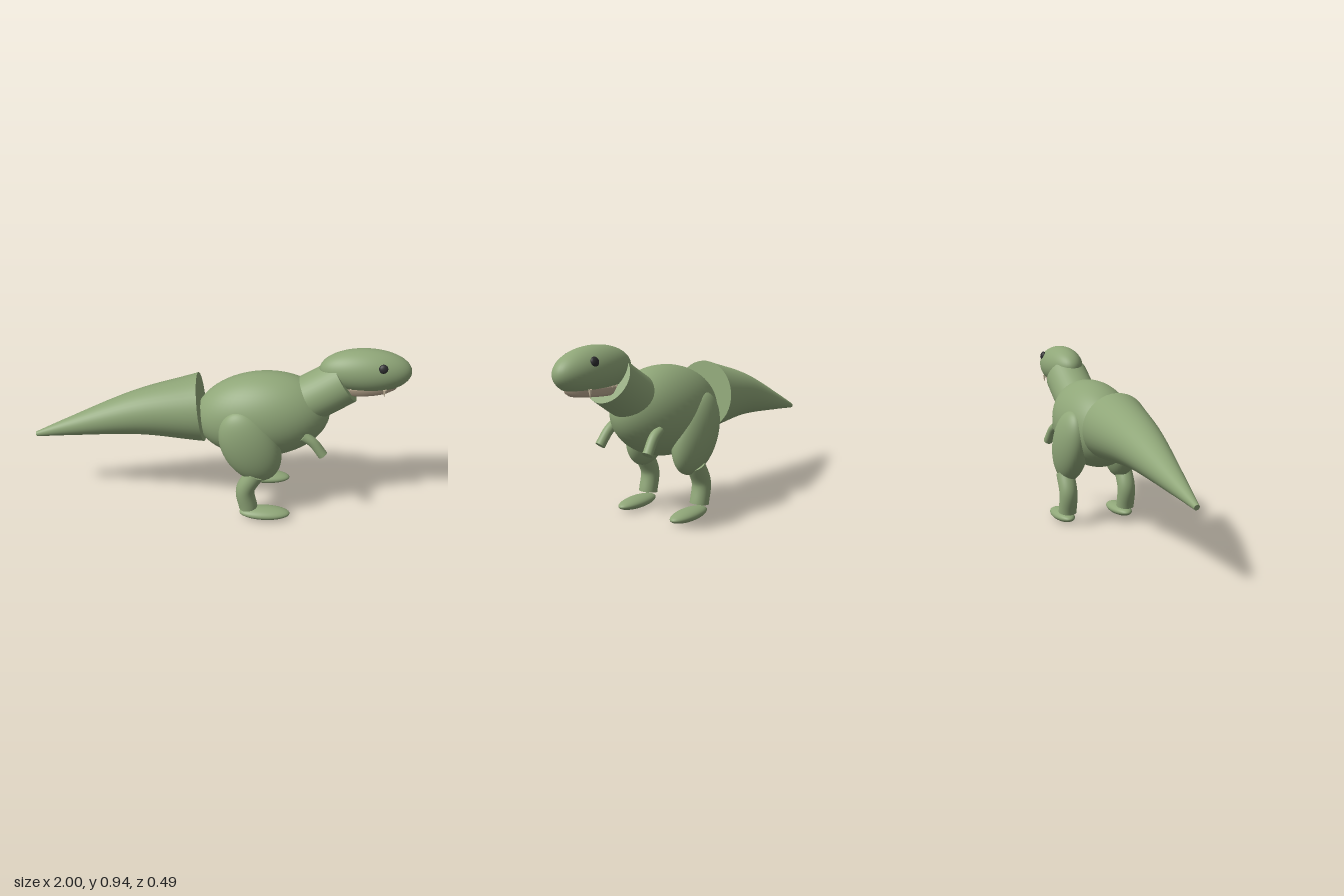
import * as THREE from 'three';

const paint = (name, color) => {
  const m = new THREE.MeshStandardMaterial({ color });
  m.name = name;
  return m;
};

export function createModel() {
  const model = new THREE.Group();
  model.name = 'dinosaur';
  const skin = paint('green skin', 0x8fa678);
  const mouth = paint('beige mouth', 0xbfad94);
  const ivory = paint('ivory teeth', 0xd9c9ad);
  const dark = paint('dark eyes', 0x2c2c2e);

  const add = (name, geometry, material, position = [0, 0, 0]) => {
    const mesh = new THREE.Mesh(geometry, material);
    mesh.name = name;
    mesh.position.set(...position);
    model.add(mesh);
    return mesh;
  };

  const ellipsoid = (name, material, position, radii, tilt = 0) => {
    const mesh = add(name, new THREE.SphereGeometry(1, 48, 32), material, position);
    mesh.scale.set(...radii);
    mesh.rotation.z = tilt;
    return mesh;
  };

  // Capped cylinder bent along a curve, tapering from r0 to r1
  const limb = (name, points, r0, r1 = r0) => {
    const curve = new THREE.CatmullRomCurve3(points.map(p => new THREE.Vector3(...p)));
    const geometry = new THREE.CylinderGeometry(1, 1, 1, 40, 24);
    const { position, normal } = geometry.attributes;
    const v = new THREE.Vector3();
    const basis = new THREE.Matrix4();
    for (let i = 0; i < position.count; i++) {
      v.fromBufferAttribute(position, i);
      const t = THREE.MathUtils.clamp(v.y + 0.5, 0, 1);
      const r = THREE.MathUtils.lerp(r0, r1, t);
      const along = curve.getTangentAt(t);
      const side = new THREE.Vector3(0, 0, 1).addScaledVector(along, -along.z).normalize();
      basis.makeBasis(new THREE.Vector3().crossVectors(along, side), along, side);
      v.set(v.x * r, 0, v.z * r).applyMatrix4(basis).add(curve.getPointAt(t));
      position.setXYZ(i, v.x, v.y, v.z);
      v.fromBufferAttribute(normal, i).applyMatrix4(basis);
      normal.setXYZ(i, v.x, v.y, v.z);
    }
    return add(name, geometry, skin);
  };

  // Trunk, tail and neck
  ellipsoid('body', skin, [0.245, 0.554, 0], [0.357, 0.235, 0.205], 0.12);
  limb('tail', [[-0.08, 0.583, 0], [-0.4, 0.54, 0], [-0.8, 0.431, 0], [-0.993, 0.373, 0]], 0.184, 0.014);
  limb('neck', [[0.43, 0.622, 0], [0.56, 0.702, 0], [0.663, 0.771, 0]], 0.125);

  // Head: ellipsoid cut flat along the mouth line
  const cut = Math.acos(-0.63);
  const head = add('head', new THREE.SphereGeometry(1, 48, 32, 0, Math.PI * 2, 0, cut), skin, [0.765, 0.83, 0]);
  head.scale.set(0.235, 0.115, 0.11);

  // Mouth: shallow bowl under the head, rising towards the snout
  const bowl = [[0, -1], [0.5, -0.98], [0.8, -0.9], [0.94, -0.6], [1, 0], [1, 0.3], [0, 0.3]];
  const jaw = add('jaw', new THREE.LatheGeometry(bowl.map(p => new THREE.Vector2(...p)), 48), mouth, [0.766, 0.752, 0]);
  jaw.scale.set(0.174, 0.043, 0.08);
  jaw.rotation.z = 0.08;

  for (const s of [1, -1]) {
    const side = s > 0 ? 'Front' : 'Back';

    // Eyes lie against the curve of the head
    const eye = ellipsoid('eye' + side, dark, [0.842, 0.886, s * 0.091], [0.023, 0.023, 0.013]);
    eye.rotation.x = -s * 0.35;

    // Teeth hang from the mouth line
    for (const [x, z, length] of [[0.862, 0.076, 0.045], [0.72, 0.083, 0.018], [0.69, 0.08, 0.018]]) {
      const tooth = add('tooth' + side, new THREE.ConeGeometry(length * 0.2, length, 16), ivory, [x, 0.762 - length / 2, s * z]);
      tooth.rotation.x = Math.PI;
    }

    // Arms
    limb('arm' + side, [[0.46, 0.508, s * 0.142], [0.51, 0.478, s * 0.147], [0.569, 0.405, s * 0.156]], 0.026);

    // Legs
    ellipsoid('thigh' + side, skin, [0.187, 0.442, s * 0.155], [0.15, 0.22, 0.09], 0.47);
    limb('shin' + side, [[0.218, 0.285, s * 0.175], [0.167, 0.18, s * 0.175], [0.185, 0.069, s * 0.175]], 0.05);
    ellipsoid('foot' + side, skin, [0.274, 0.033, s * 0.175], [0.137, 0.031, 0.057]);
  }
  return model;
}
